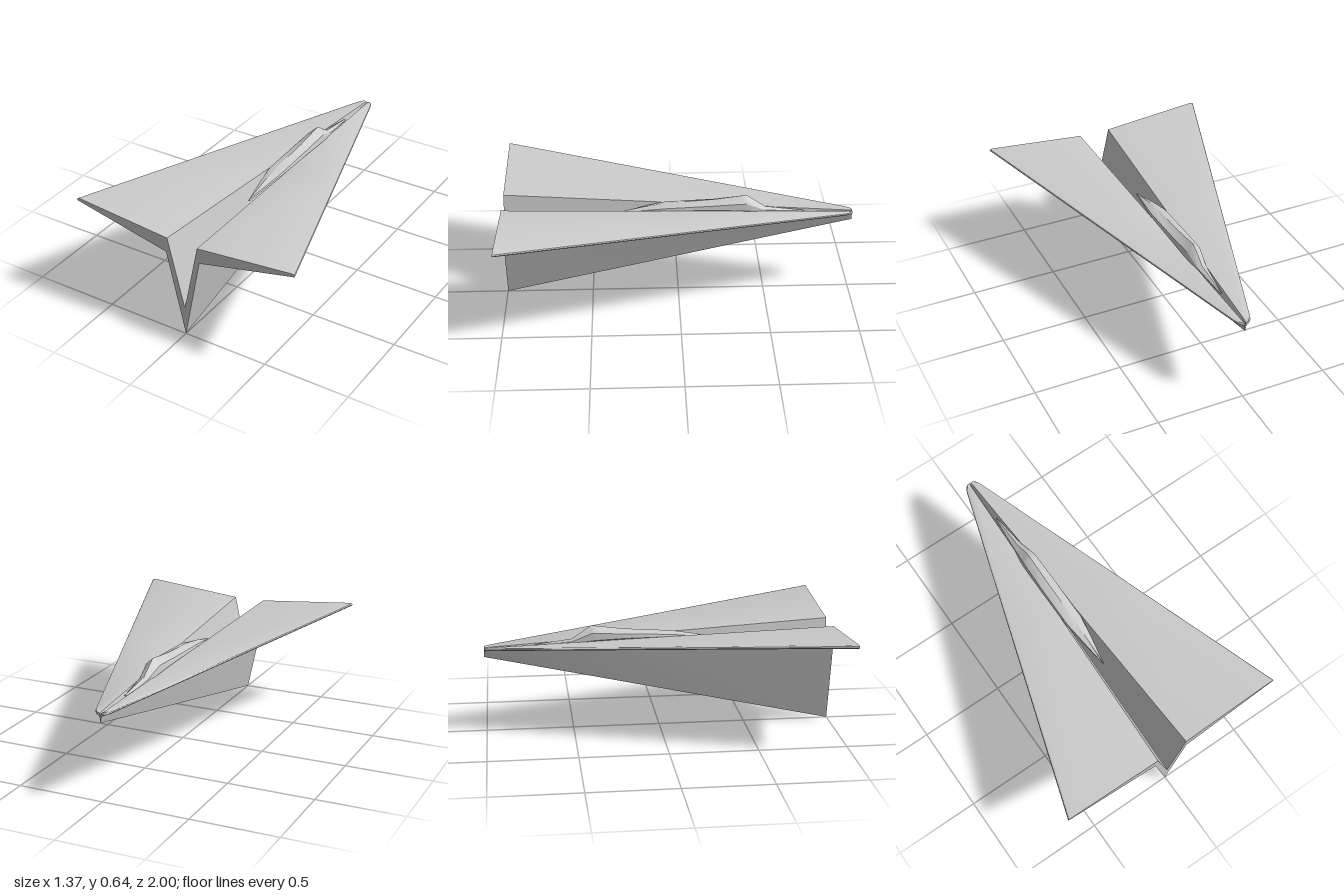
import * as THREE from 'three';
import { toCreasedNormals } from 'three/addons/utils/BufferGeometryUtils.js';

// Right half of a section (bottom to top) mirrored into a closed loop.
// Points with x = 0 are shared by both halves.
function mirrorLoop(half) {
  const left = half.filter(([x]) => x > 0).reverse().map(([x, y]) => [-x, y]);
  return [...half, ...left];
}

// Skin between closed sections { z, loop } listed from nose to tail, with end caps.
function loft(sections, crease) {
  const n = sections[0].loop.length;
  const positions = [];
  const index = [];
  for (const { z, loop } of sections) for (const [x, y] of loop) positions.push(x, y, z);
  for (let i = 0; i < sections.length - 1; i++) {
    for (let j = 0; j < n; j++) {
      const k = (j + 1) % n;
      const a = i * n + j, b = i * n + k, c = b + n, d = a + n;
      index.push(a, b, c, a, c, d);
    }
  }
  const last = (sections.length - 1) * n;
  const outline = sections[sections.length - 1].loop.map(([x, y]) => new THREE.Vector2(x, y));
  for (const [a, b, c] of THREE.ShapeUtils.triangulateShape(outline, [])) {
    index.push(last + a, last + b, last + c, c, b, a);
  }
  const geometry = new THREE.BufferGeometry();
  geometry.setAttribute('position', new THREE.Float32BufferAttribute(positions, 3));
  geometry.setIndex(index);
  return toCreasedNormals(geometry, crease);
}

export function createModel() {
  const model = new THREE.Group();
  model.name = 'paperPlane';
  const material = new THREE.MeshStandardMaterial({ color: 0xcccccc, side: THREE.DoubleSide });

  const add = (name, geometry) => {
    const mesh = new THREE.Mesh(geometry, material);
    mesh.name = name;
    model.add(mesh);
  };

  // Folded body: keel, lower fold, rounded wing tip, upper fold, valley
  const noseHalf = [
    [0, 0.443], [0.012, 0.482], [0.033, 0.488], [0.036, 0.493],
    [0.034, 0.499], [0.028, 0.502], [0.006, 0.497], [0, 0.47],
  ];
  const tailHalf = [
    [0, 0], [0.105, 0.497], [0.678, 0.624], [0.683, 0.631],
    [0.679, 0.637], [0.664, 0.64], [0.094, 0.586], [0, 0.17],
  ];
  // Each station: z and the narrowing that rounds the nose
  const stations = [[-1, 0.5], [-0.992, 0.78], [-0.98, 0.93], [-0.96, 1], [0, 1], [1, 1]];
  const body = stations.map(([z, narrow]) => {
    const t = (z + 1) / 2;
    const half = noseHalf.map(([x, y], i) => [
      THREE.MathUtils.lerp(x, tailHalf[i][0], t) * narrow,
      THREE.MathUtils.lerp(y, tailHalf[i][1], t),
    ]);
    return { z, loop: mirrorLoop(half) };
  });
  add('foldedBody', loft(body, 0.7));

  // Ridged canopy set in the fold: z, half width, side, shoulder and ridge heights
  const canopy = [
    [-0.72, 0.005, 0.498, 0.503, 0.507],
    [-0.5, 0.028, 0.513, 0.524, 0.535],
    [-0.39, 0.045, 0.53, 0.572, 0.61],
    [-0.36, 0.047, 0.533, 0.573, 0.606],
    [-0.2, 0.05, 0.54, 0.565, 0.585],
    [0.07, 0.05, 0.542, 0.554, 0.566],
    [0.2, 0.03, 0.525, 0.535, 0.545],
    [0.36, 0.003, 0.5, 0.505, 0.51],
  ].map(([z, w, side, shoulder, ridge]) => ({
    z,
    loop: mirrorLoop([[0, side - w * 0.8], [w, side], [w * 0.9, shoulder], [0, ridge]]),
  }));
  add('canopy', loft(canopy, 0.6));

  return model;
}
